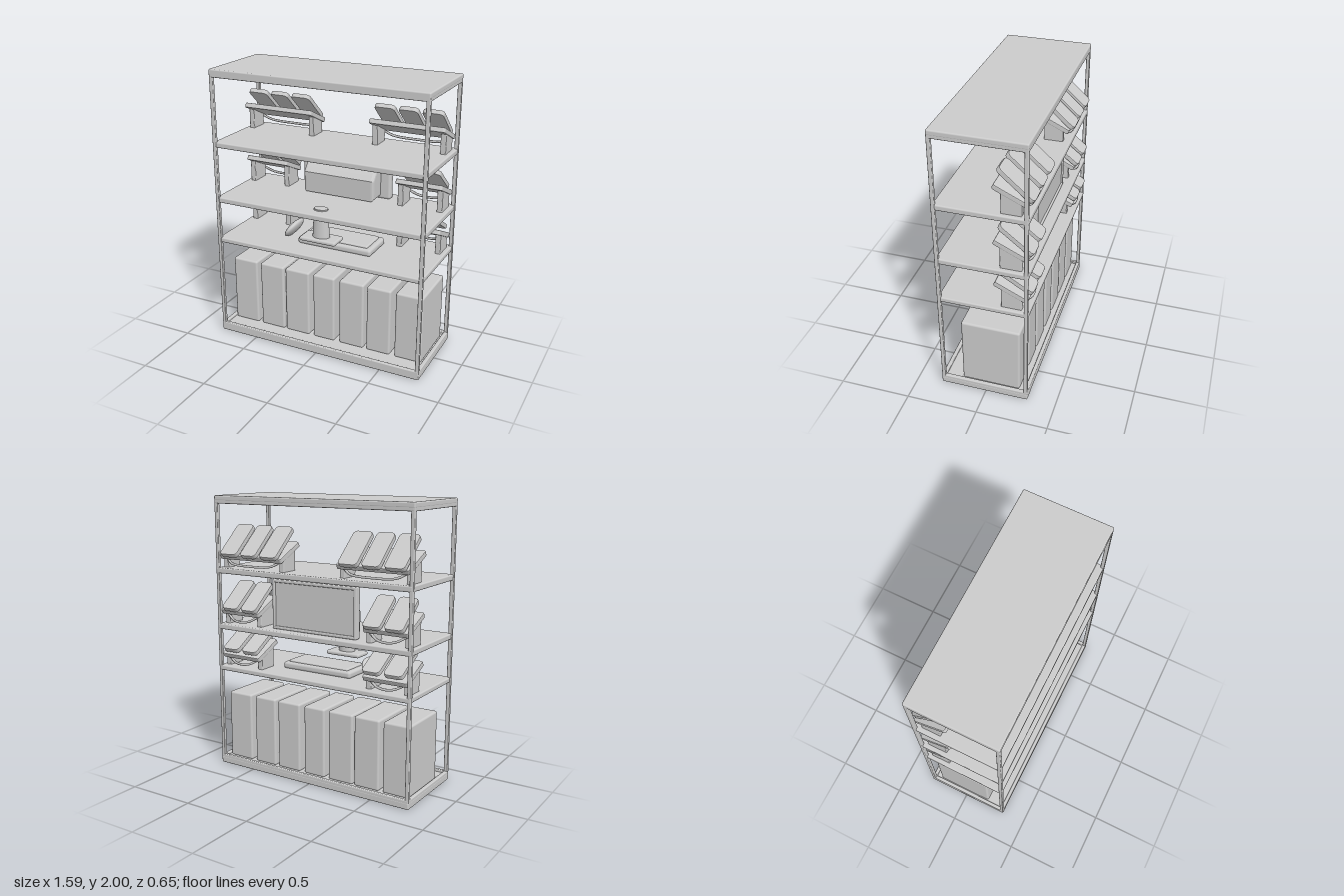
import * as THREE from 'three';
import { RoundedBoxGeometry } from 'three/addons/geometries/RoundedBoxGeometry.js';

const material = new THREE.MeshStandardMaterial({ color: 0xcccccc });

function add(parent, name, geometry, x = 0, y = 0, z = 0) {
  const mesh = new THREE.Mesh(geometry, material);
  mesh.name = name;
  mesh.position.set(x, y, z);
  parent.add(mesh);
  return mesh;
}

// Rounded block given by its limits on each axis
function block(parent, name, [x0, x1], [y0, y1], [z0, z1], radius = 0.01) {
  const geometry = new RoundedBoxGeometry(x1 - x0, y1 - y0, z1 - z0, 3, radius);
  return add(parent, name, geometry, (x0 + x1) / 2, (y0 + y1) / 2, (z0 + z1) / 2);
}

// Side profile of [z, y] points, extruded along x from x0 to x1
function profile(parent, name, points, x0, x1, bevel = 0) {
  const shape = new THREE.Shape(points.map(([z, y]) => new THREE.Vector2(-z, y)));
  const geometry = new THREE.ExtrudeGeometry(shape, {
    depth: x1 - x0 - 2 * bevel, bevelEnabled: bevel > 0,
    bevelSize: bevel, bevelThickness: bevel, bevelOffset: -bevel, bevelSegments: 3,
  });
  geometry.rotateY(Math.PI / 2);
  return add(parent, name, geometry, x0 + bevel, 0, 0);
}

// Flat slab with rounded corners, lying in the xy plane and centred
function slab(width, length, thickness, r) {
  const w = width / 2, l = length / 2, s = new THREE.Shape();
  s.absarc(w - r, l - r, r, 0, Math.PI / 2);
  s.absarc(-w + r, l - r, r, Math.PI / 2, Math.PI);
  s.absarc(-w + r, -l + r, r, Math.PI, Math.PI * 1.5);
  s.absarc(w - r, -l + r, r, Math.PI * 1.5, Math.PI * 2);
  const b = 0.006;
  return new THREE.ExtrudeGeometry(s, {
    depth: thickness - 2 * b, bevelSize: b, bevelThickness: b, bevelOffset: -b,
    bevelSegments: 2, curveSegments: 6,
  }).translate(0, 0, b - thickness / 2);
}

// Slab whose long side runs between two [z, y] points
function slopedSlab(parent, name, x, width, thickness, top, bottom, r) {
  const dz = top[0] - bottom[0], dy = top[1] - bottom[1];
  const mesh = add(parent, name, slab(width, Math.hypot(dz, dy), thickness, r),
    x, (top[1] + bottom[1]) / 2, (top[0] + bottom[0]) / 2);
  mesh.rotation.x = Math.atan2(dz, dy);
}

// Display stand with a sloping plate, two legs, a retaining strap and devices
function displayStand({ base, bar, top, low, inner, devices, legFront }) {
  const stand = new THREE.Group();
  stand.name = 'displayStand';
  const outer = 0.765, mid = (inner + outer) / 2;
  slopedSlab(stand, 'standPlate', mid, outer - inner, 0.035,
    [-0.065, bar - 0.02], [-0.29, bar - 0.125], 0.015);
  const leg = [[legFront, base - 0.005], [legFront, bar - 0.03],
    [-0.25, bar - 0.105], [-0.25, base - 0.005]];
  profile(stand, 'outerLeg', leg, outer - 0.045, outer - 0.005, 0.006);
  profile(stand, 'innerLeg', leg, inner + 0.005, inner + 0.045, 0.006);
  const strap = new THREE.CatmullRomCurve3([
    new THREE.Vector3(inner + 0.035, base + 0.07, -0.25),
    new THREE.Vector3(inner + 0.1, base + 0.035, -0.275),
    new THREE.Vector3(mid, base + 0.025, -0.285),
    new THREE.Vector3(outer - 0.1, base + 0.035, -0.275),
    new THREE.Vector3(outer - 0.035, base + 0.07, -0.25),
  ]);
  add(stand, 'retainingStrap', new THREE.TubeGeometry(strap, 20, 0.009, 6));
  for (const [x0, x1] of devices) {
    slopedSlab(stand, 'displayDevice', (x0 + x1) / 2, x1 - x0, 0.034,
      [-0.09, top - 0.012], [-0.315, low], 0.03);
  }
  return stand;
}

export function createModel() {
  const model = new THREE.Group();
  model.name = 'shelvingUnit';

  // Frame: posts, top and bottom panels with rims, three shelves
  for (const x of [-0.78, 0.78]) {
    for (const z of [-0.287, 0.311]) {
      block(model, 'post', [x - 0.014, x + 0.014], [0.01, 1.99], [z - 0.013, z + 0.013], 0.006);
    }
  }
  block(model, 'topPanel', [-0.795, 0.795], [1.962, 2], [-0.302, 0.325]);
  block(model, 'bottomPanel', [-0.795, 0.795], [0, 0.05], [-0.302, 0.325]);
  for (const [y0, y1] of [[0.02, 0.066], [1.943, 1.985]]) {
    for (const z of [-0.287, 0.311]) {
      block(model, 'longRim', [-0.79, 0.79], [y0, y1], [z - 0.014, z + 0.014], 0.007);
    }
    for (const x of [-0.78, 0.78]) {
      block(model, 'sideRim', [x - 0.014, x + 0.014], [y0, y1], [-0.295, 0.32], 0.007);
    }
  }
  for (const [y0, y1] of [[0.728, 0.765], [1.037, 1.078], [1.447, 1.488]]) {
    block(model, 'shelf', [-0.79, 0.79], [y0, y1], [-0.302, 0.32]);
  }

  // Row of storage boxes
  const boxes = [[-0.76, -0.56], [-0.53, -0.335], [-0.32, -0.125], [-0.09, 0.08],
    [0.12, 0.31], [0.335, 0.517], [0.553, 0.755]];
  for (const span of boxes) block(model, 'storageBox', span, [0.045, 0.55], [-0.235, 0.18], 0.015);

  // Mirrored pairs of display stands on each shelf
  const pair = [[0.435, 0.57], [0.597, 0.738]];
  const rows = [
    { base: 1.488, bar: 1.69, top: 1.79, low: 1.58, inner: 0.222, legFront: -0.115,
      devices: [[0.248, 0.395], [0.425, 0.562], [0.592, 0.742]] },
    { base: 1.078, bar: 1.29, top: 1.38, low: 1.19, inner: 0.427, legFront: -0.105, devices: pair },
    { base: 0.765, bar: 0.966, top: 1.035, low: 0.89, inner: 0.427, legFront: -0.11, devices: pair },
  ];
  for (const row of rows) {
    model.add(displayStand(row));
    const mirrored = displayStand(row);
    mirrored.scale.x = -1;
    model.add(mirrored);
  }

  // Monitor: screen with raised border towards the back, housing towards the front
  const monitor = new THREE.Group();
  monitor.name = 'monitor';
  model.add(monitor);
  block(monitor, 'screen', [-0.348, 0.345], [1.075, 1.435], [-0.225, -0.18], 0.018);
  for (const [y0, y1] of [[1.078, 1.1], [1.41, 1.433]]) {
    block(monitor, 'screenBorder', [-0.345, 0.342], [y0, y1], [-0.236, -0.2], 0.008);
  }
  for (const [x0, x1] of [[-0.346, -0.322], [0.319, 0.343]]) {
    block(monitor, 'screenBorder', [x0, x1], [1.078, 1.433], [-0.236, -0.2], 0.008);
  }
  profile(monitor, 'rearHousing', [[-0.2, 1.09], [-0.05, 1.09], [-0.045, 1.24],
    [-0.075, 1.275], [-0.17, 1.38], [-0.2, 1.39]], -0.275, 0.272, 0.02);

  // Monitor foot with a flared neck
  block(model, 'footBase', [-0.147, 0.13], [0.845, 0.876], [0.13, 0.272], 0.014);
  const neck = add(model, 'footNeck', new THREE.CylinderGeometry(0.052, 0.064, 0.225, 24), -0.007, 0.974, 0.203);
  neck.scale.z = 0.72;
  const cap = add(model, 'neckCap', new THREE.SphereGeometry(0.054, 24, 10), -0.007, 1.077, 0.203);
  cap.scale.set(1, 0.22, 0.8);

  // Keyboard and tilted mouse
  block(model, 'keyboardBody', [-0.225, 0.343], [0.76, 0.812], [-0.115, 0.15], 0.02);
  block(model, 'keyboardKeys', [-0.19, 0.308], [0.79, 0.826], [-0.09, 0.12], 0.012);
  const mouse = add(model, 'mouse', new THREE.SphereGeometry(1, 28, 18), -0.31, 0.829, 0.045);
  mouse.scale.set(0.077, 0.03, 0.11);
  mouse.rotation.z = 0.95;

  return model;
}
